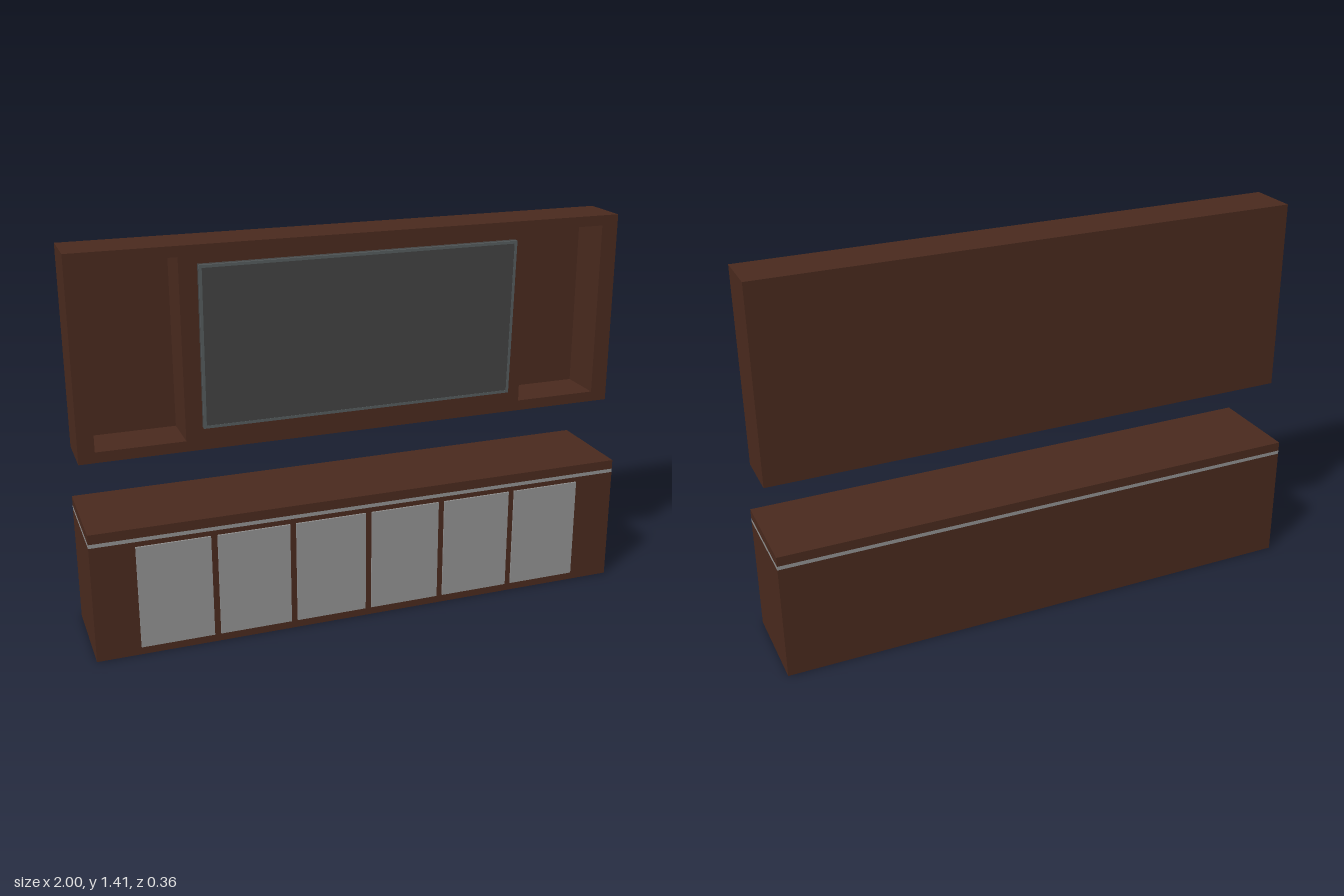
import * as THREE from 'three';

const wood = new THREE.MeshStandardMaterial({ color: 0x4a2a1e });
const panelGrey = new THREE.MeshStandardMaterial({ color: 0x929292 });
const darkGrey = new THREE.MeshStandardMaterial({ color: 0x444444 });
const rimGrey = new THREE.MeshStandardMaterial({ color: 0x565d5f });

// Box given by its minimum and maximum corners
function box(name, material, [x0, y0, z0], [x1, y1, z1]) {
  const mesh = new THREE.Mesh(new THREE.BoxGeometry(x1 - x0, y1 - y0, z1 - z0), material);
  mesh.position.set((x0 + x1) / 2, (y0 + y1) / 2, (z0 + z1) / 2);
  mesh.name = name;
  return mesh;
}

// Adds a rectangular outline to a Shape or Path
function rect(path, x0, y0, x1, y1) {
  path.moveTo(x0, y0).lineTo(x1, y0).lineTo(x1, y1).lineTo(x0, y1).closePath();
  return path;
}

// Upper wall unit: a front frame with two deep niches, closed by a thin back
function createWallUnit() {
  const group = new THREE.Group();
  group.name = 'wallUnit';
  const back = -0.095, niche = -0.075, front = 0.09;
  const shape = rect(new THREE.Shape(), -1, 0.7, 1, 1.412);
  shape.holes.push(
    rect(new THREE.Path(), -0.943, 0.738, -0.633, 1.375),
    rect(new THREE.Path(), 0.627, 0.738, 0.937, 1.375)
  );
  const frame = new THREE.Mesh(
    new THREE.ExtrudeGeometry(shape, { depth: front - niche, bevelEnabled: false }), wood);
  frame.position.z = niche;
  frame.name = 'nicheFrame';
  group.add(frame, box('wallUnitBack', wood, [-1, 0.7, back], [1, 1.412, niche]));
  return group;
}

// Flat television, tipped forward at the top
function createTelevision() {
  const group = new THREE.Group();
  group.name = 'television';
  const w = 0.573, h = 0.285, t = 0.0105, b = 0.01;
  group.add(box('televisionBody', darkGrey, [-w, -h, -t], [w, h, t - 0.006]));
  const rimShape = rect(new THREE.Shape(), -w, -h, w, h);
  rimShape.holes.push(rect(new THREE.Path(), -w + b, -h + b, w - b, h - b));
  const rim = new THREE.Mesh(
    new THREE.ExtrudeGeometry(rimShape, { depth: 0.006, bevelEnabled: false }), rimGrey);
  rim.position.z = t - 0.006;
  rim.name = 'televisionRim';
  group.add(rim, box('screen', darkGrey, [-w + b, -h + b, t - 0.006], [w - b, h - b, t - 0.001]));
  group.position.set(-0.002, 1.069, 0.114);
  group.rotation.x = 0.037;
  return group;
}

// Lower cabinet: body, pale strip, top slab and a row of six doors
function createCabinet() {
  const group = new THREE.Group();
  group.name = 'cabinet';
  const back = -0.18, front = 0.175;
  group.add(
    box('cabinetBody', wood, [-1, 0, back], [1, 0.431, front]),
    box('trimStrip', panelGrey, [-1, 0.431, back], [1, 0.445, front]),
    box('cabinetTop', wood, [-1, 0.445, back], [1, 0.48, front])
  );
  for (let i = 0; i < 6; i++) {
    const x = (i - 2.5) * 0.285;
    group.add(box('door' + (i + 1), panelGrey,
      [x - 0.131, 0.03, front], [x + 0.131, 0.413, front + 0.006]));
  }
  return group;
}

export function createModel() {
  const model = new THREE.Group();
  model.name = 'mediaWall';
  model.add(createWallUnit(), createTelevision(), createCabinet());
  return model;
}
